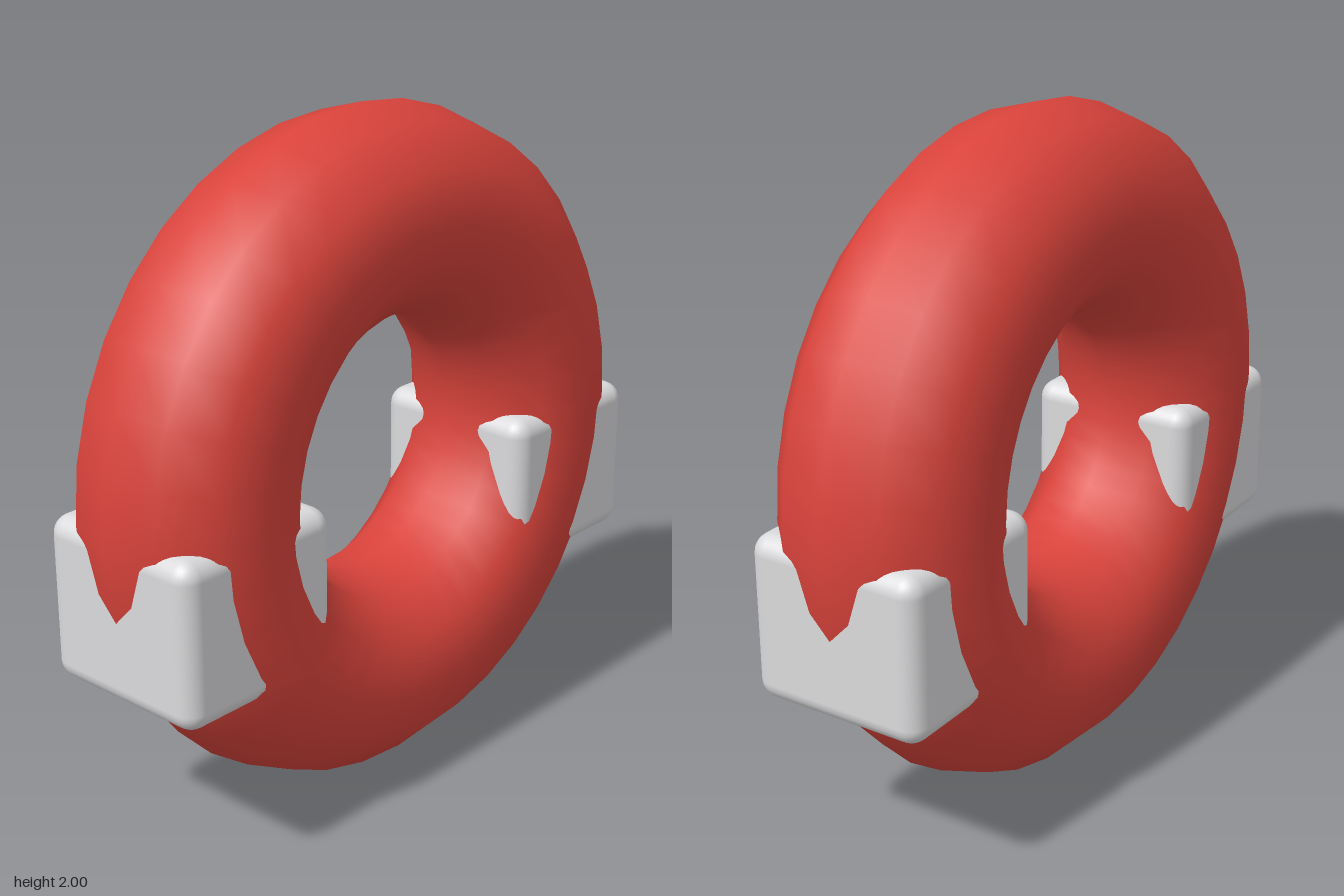
import * as THREE from 'three';
import { RoundedBoxGeometry } from 'three/addons/geometries/RoundedBoxGeometry.js';

export function createModel() {
  const group = new THREE.Group();
  group.name = 'ringWithClamps';

  const red = new THREE.MeshStandardMaterial({ color: 0xd9433b });
  red.name = 'red';
  const lightGrey = new THREE.MeshStandardMaterial({ color: 0xdadadc });
  lightGrey.name = 'light grey';

  // Upright ring
  const ring = new THREE.Mesh(new THREE.TorusGeometry(0.695, 0.305, 12, 36), red);
  ring.name = 'ring';
  ring.position.y = 1;
  group.add(ring);

  // Rounded clamp block on each side, with the ring passing through it
  const clampGeometry = new RoundedBoxGeometry(0.554, 0.486, 0.546, 3, 0.056);
  for (const [name, side] of [['leftClamp', 1], ['rightClamp', -1]]) {
    const clamp = new THREE.Mesh(clampGeometry, lightGrey);
    clamp.name = name;
    clamp.position.set(side * 0.691, 0.757, 0);
    group.add(clamp);
  }

  return group;
}
